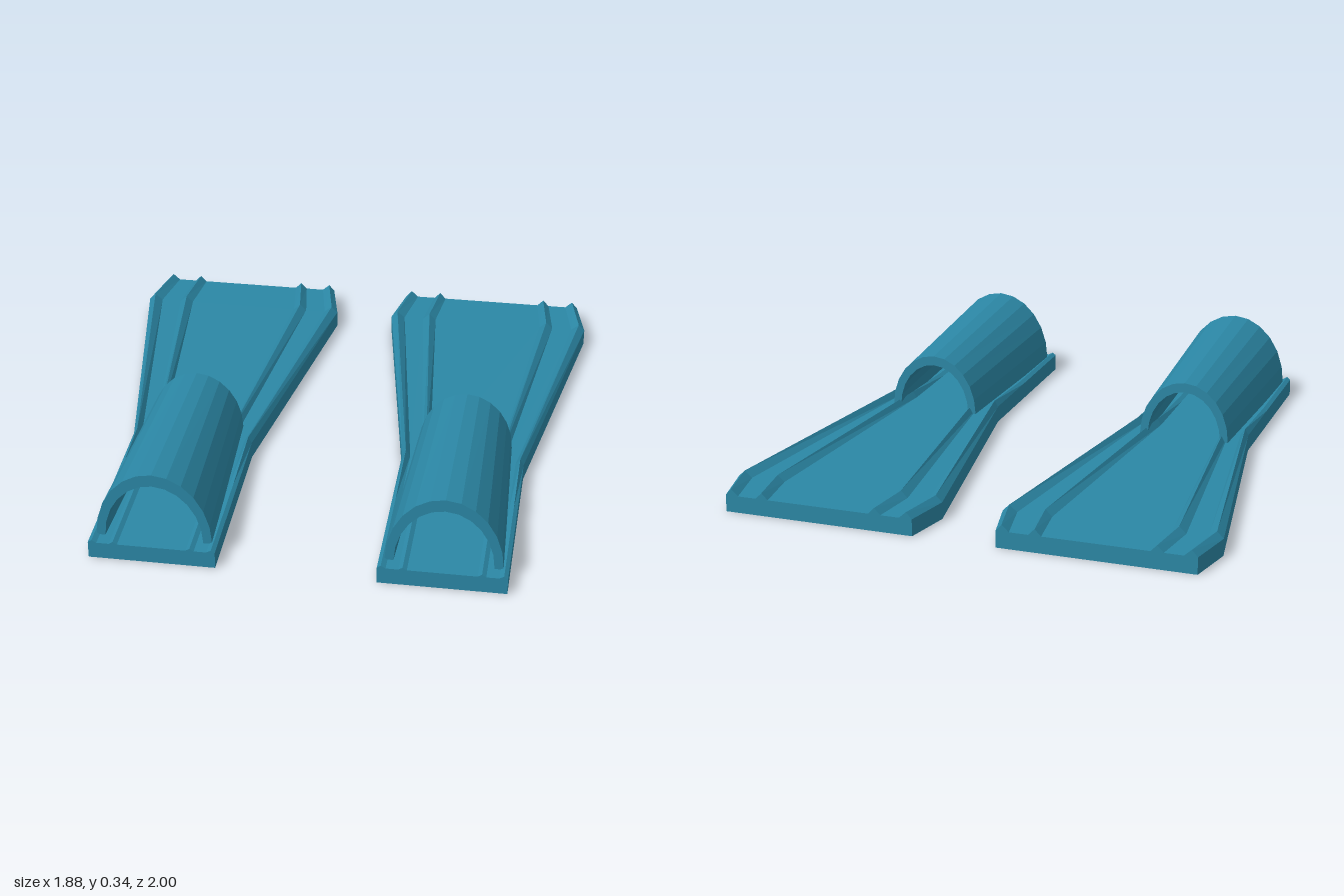
import * as THREE from 'three';

// Skins counter-clockwise cross-sections running from front (+z) to back, with end caps.
function loft(sections) {
  const pos = [], idx = [], n = sections[0].pts.length;
  for (const { z, pts } of sections) for (const [x, y] of pts) pos.push(x, y, z);
  for (let i = 0; i < sections.length - 1; i++) {
    for (let j = 0; j < n; j++) {
      const a = i * n + j, b = i * n + (j + 1) % n;
      idx.push(a, a + n, b, b, a + n, b + n);
    }
  }
  const last = (sections.length - 1) * n;
  const capOf = (s) => THREE.ShapeUtils.triangulateShape(s.pts.map(([x, y]) => new THREE.Vector2(x, y)), []);
  for (const [a, b, c] of capOf(sections[0])) idx.push(a, b, c);
  for (const [a, b, c] of capOf(sections[sections.length - 1])) idx.push(last + a, last + c, last + b);
  const g = new THREE.BufferGeometry();
  g.setAttribute('position', new THREE.Float32BufferAttribute(pos, 3));
  g.setIndex(idx);
  const flat = g.toNonIndexed();
  flat.computeVertexNormals();
  return flat;
}

const DECK = 0.065;

// Blade section: flat sole, deck with two triangular ribs on each side.
function bladeSection(z, half, peak) {
  const right = [
    [1, DECK], [0.94, peak], [0.865, DECK],
    [0.67, DECK], [0.605, peak], [0.54, DECK],
  ].map(([k, y]) => [k * half, y]);
  const left = right.map(([x, y]) => [-x, y]).reverse();
  return { z, pts: [[-half, 0], [half, 0], ...right, ...left] };
}

// Foot pocket section: half-elliptical band standing on the deck.
function archSection(z, rx, ry, ix, iy, steps = 12) {
  const pts = [];
  for (let i = 0; i <= steps; i++) {
    const t = Math.PI * i / steps;
    pts.push([rx * Math.cos(t), DECK + ry * Math.sin(t)]);
  }
  for (let i = steps; i >= 0; i--) {
    const t = Math.PI * i / steps;
    pts.push([ix * Math.cos(t), DECK + iy * Math.sin(t)]);
  }
  return { z, pts };
}

export function createModel() {
  const model = new THREE.Group();
  model.name = 'swimFins';
  const rubber = new THREE.MeshStandardMaterial({ color: 0x2b87a5, flatShading: true });

  const bladeGeometry = loft([
    bladeSection(1, 0.235, 0.075),
    bladeSection(0.57, 0.235, 0.075),
    bladeSection(0.26, 0.235, 0.09),
    bladeSection(-0.81, 0.412, 0.09),
    bladeSection(-1, 0.37, 0.09),
  ]);
  const pocketGeometry = loft([
    archSection(0.945, 0.215, 0.278, 0.182, 0.23),
    archSection(0.145, 0.18, 0.228, 0.148, 0.19),
  ]);

  // One fin for each foot
  for (const [side, x] of [['left', 0.53], ['right', -0.53]]) {
    const fin = new THREE.Group();
    fin.name = side + 'Fin';
    const blade = new THREE.Mesh(bladeGeometry, rubber);
    blade.name = side + 'Blade';
    const pocket = new THREE.Mesh(pocketGeometry, rubber);
    pocket.name = side + 'FootPocket';
    fin.add(blade, pocket);
    fin.position.x = x;
    model.add(fin);
  }
  return model;
}
